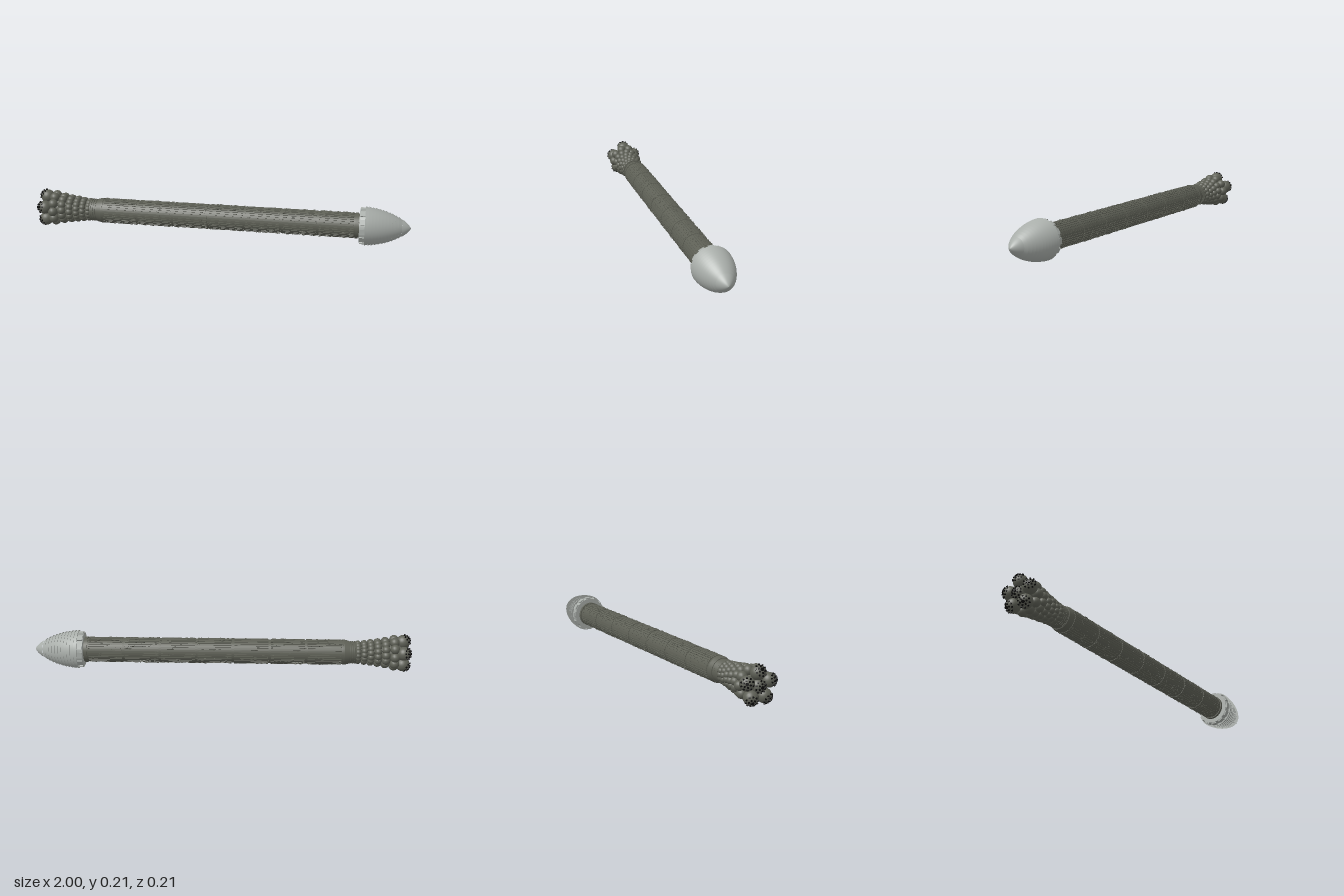
import * as THREE from 'three';
import { mergeGeometries } from 'three/addons/utils/BufferGeometryUtils.js';

const AXIS_Y = 0.103; // height of the long axis

export function createModel() {
  const model = new THREE.Group();
  model.name = 'rocketShip';
  const ship = new THREE.Group();
  ship.name = 'shipParts';
  ship.position.y = AXIS_Y;
  model.add(ship);

  const hullGrey = new THREE.MeshStandardMaterial({ color: 0x5e6056 });
  hullGrey.name = 'hullGrey';
  const noseGrey = new THREE.MeshStandardMaterial({ color: 0xa8ada9 });
  noseGrey.name = 'noseGrey';
  const black = new THREE.MeshStandardMaterial({ color: 0x0b0b0b });
  black.name = 'nozzleBlack';

  let seed = 7;
  const rand = () => (seed = (seed * 16807) % 2147483647) / 2147483647;

  const add = (name, geos, mat) => {
    const mesh = new THREE.Mesh(mergeGeometries(geos), mat);
    mesh.name = name;
    ship.add(mesh);
  };
  // Frustum along x, from x0 (radius r0) to x1 (radius r1)
  const frustum = (x0, x1, r0, r1, sides = 48) =>
    new THREE.CylinderGeometry(r1, r0, x1 - x0, sides)
      .rotateZ(-Math.PI / 2).translate((x0 + x1) / 2, 0, 0);
  // Box lying on the hull at angle a, its outer face at radius r
  const plate = (x, a, r, len, thick, width) =>
    new THREE.BoxGeometry(len, thick, width).translate(x, r - thick / 2, 0).rotateX(a);

  // Long hull tube with end flanges and a stepped neck
  add('hullTube', [
    frustum(-0.66, 0.735, 0.0635, 0.0635),
    frustum(-0.672, -0.648, 0.062, 0.067),
    frustum(-0.648, -0.64, 0.067, 0.067),
    frustum(0.715, 0.73, 0.068, 0.068),
    frustum(0.73, 0.745, 0.06, 0.06),
  ], hullGrey);
  const neck = [];
  for (let i = 0; i < 4; i++) {
    neck.push(frustum(-0.712 + i * 0.012, -0.703 + i * 0.012, 0.058, 0.06));
  }
  neck.push(frustum(-0.715, -0.65, 0.055, 0.057));
  add('neckRings', neck, hullGrey);

  // Lengthwise slats, grouped into sections with gaps at the joints
  const slats = [];
  const sections = 7, x0 = -0.64, step = 1.355 / sections;
  for (let s = 0; s < sections; s++) {
    const mid = x0 + (s + 0.5) * step;
    for (let i = 0; i < 36; i++) {
      slats.push(plate(mid, (i / 36) * Math.PI * 2, 0.0665, step - 0.014, 0.006, 0.0088));
    }
  }
  add('hullSlats', slats, hullGrey);

  // Small equipment boxes scattered over the hull
  const boxes = [];
  for (let i = 0; i < 700; i++) {
    const a = Math.floor(rand() * 36) / 36 * Math.PI * 2;
    boxes.push(plate(-0.63 + rand() * 1.34, a, 0.0678 + rand() * 0.0018,
      0.004 + rand() * 0.01, 0.004, 0.003 + rand() * 0.003));
  }
  add('hullEquipment', boxes, hullGrey);

  // Nose: stacked cones, each overhanging the one behind
  const noseRadius = x => 0.103 * Math.pow(Math.max(0, 1 - Math.pow((x - 0.755) / 0.245, 1.9)), 0.72);
  const nose = [];
  const count = 11, start = 0.765, pitch = 0.0172;
  for (let i = 0; i < count; i++) {
    const a = start + i * pitch, b = a + pitch;
    nose.push(frustum(a, b, noseRadius(a), noseRadius(b) - 0.005));
  }
  add('noseRings', nose, noseGrey);

  // Rounded nose tip
  const tipX = start + count * pitch, tip = [];
  for (let i = 0; i <= 8; i++) {
    const x = tipX + (1 - tipX) * (1 - Math.pow(1 - i / 8, 1.6));
    tip.push(new THREE.Vector2(i === 8 ? 0 : noseRadius(x), x));
  }
  add('noseTip', [new THREE.LatheGeometry(tip, 48).rotateZ(-Math.PI / 2)], noseGrey);

  // Collar behind the nose with raised blocks
  const collar = [frustum(0.736, 0.768, 0.089, 0.092)];
  for (let i = 0; i < 12; i++) {
    collar.push(plate(0.752, (i / 12) * Math.PI * 2, 0.0955, 0.026, 0.01, 0.03));
  }
  add('noseCollar', collar, noseGrey);

  // Tail core and rings of spherical tanks that grow toward the rear
  add('tailCore', [
    frustum(-0.92, -0.7, 0.056, 0.045, 24),
    frustum(-0.96, -0.92, 0.05, 0.056, 24),
  ], hullGrey);
  const rows = [ // x, ring radius, tank radius, tanks
    [-0.722, 0.046, 0.0165, 16],
    [-0.754, 0.049, 0.0175, 15],
    [-0.788, 0.053, 0.0185, 15],
    [-0.825, 0.057, 0.02, 14],
    [-0.866, 0.062, 0.022, 13],
    [-0.912, 0.069, 0.0255, 10],
  ];
  const tanks = [];
  rows.forEach(([x, ring, r, n], row) => {
    for (let i = 0; i < n; i++) {
      const a = ((i + (row % 2) / 2) / n) * Math.PI * 2;
      tanks.push(new THREE.SphereGeometry(r, 16, 12)
        .translate(x, ring * Math.cos(a), ring * Math.sin(a)));
    }
  });
  add('sphericalTanks', tanks, hullGrey);

  // Engine pods: one in the middle and five around it
  const pods = [], nozzles = [];
  const addPod = (ring, angle, tilt) => {
    const place = g => g.rotateZ(-tilt).translate(-0.958, ring, 0).rotateX(angle);
    pods.push(place(new THREE.SphereGeometry(0.0365, 24, 16)));
    const nozzle = (spread, turn, r) => nozzles.push(place(
      new THREE.CylinderGeometry(r, r, 0.008, 10).translate(0, 0.0375, 0)
        .rotateZ(Math.PI / 2 - spread).rotateX(turn)));
    nozzle(0, 0, 0.008);
    for (let i = 0; i < 10; i++) nozzle(0.82, (i / 10) * Math.PI * 2, 0.0042);
    for (let i = 0; i < 6; i++) nozzle(0.43, (i / 6) * Math.PI * 2, 0.0045);
  };
  addPod(0, 0, 0);
  for (let i = 0; i < 5; i++) addPod(0.063, (i / 5) * Math.PI * 2, 0.62);
  add('enginePods', pods, hullGrey);
  add('engineNozzles', nozzles, black);

  return model;
}
